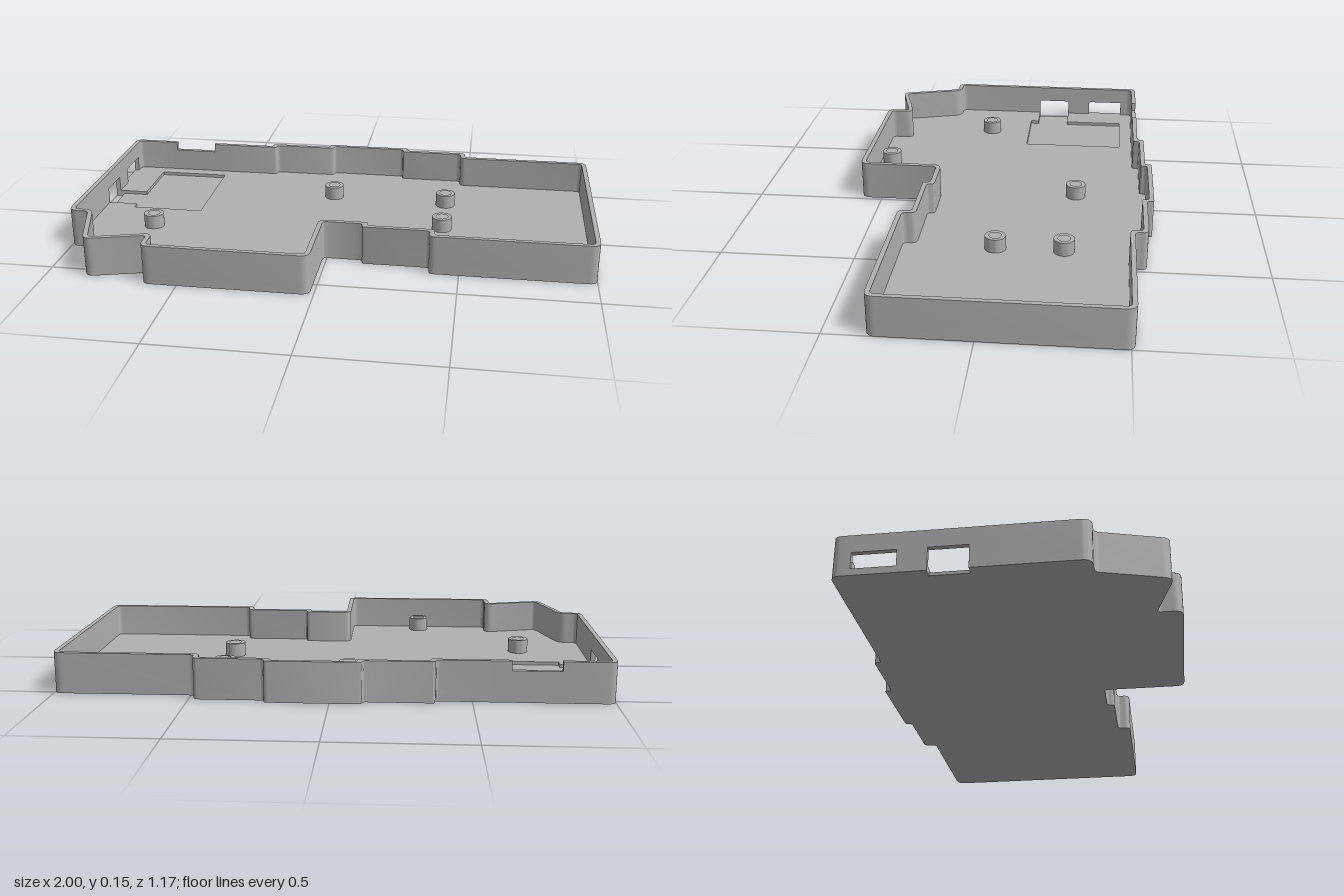
import * as THREE from 'three';
import { toCreasedNormals } from 'three/addons/utils/BufferGeometryUtils.js';

const WALL = 0.018, FLOOR = 0.025, POCKET = 0.012, HEIGHT = 0.15, WINDOW_TOP = 0.085, NOTCH_Y = 0.115;

// Outer outline as two open runs of [x, z], broken at the left windows and the back notch
const mainRun = [
  [-1, -0.085], [-1, 0.305], [-0.922, 0.305], [-0.85, 0.555], [-0.63, 0.493], [-0.63, 0.583],
  [-0.015, 0.583], [-0.015, 0.273], [0.135, 0.273], [0.135, 0.302], [0.388, 0.302], [0.388, 0.353],
  [1, 0.353], [1, -0.513], [0.485, -0.513], [0.485, -0.561], [0.23, -0.561], [0.23, -0.587],
  [-0.115, -0.587], [-0.115, -0.561], [-0.37, -0.561], [-0.37, -0.535], [-0.635, -0.535],
];
const cornerRun = [[-0.81, -0.535], [-1, -0.535], [-1, -0.47]];

const toVectors = (list) => list.map(([x, z]) => new THREE.Vector2(x, z));
const direction = (a, b) => b.clone().sub(a).normalize();

// Parallel run, moved inward by d with mitred corners
function inset(points, d) {
  return points.map((p, i) => {
    const normals = [];
    if (i > 0) normals.push(direction(points[i - 1], p));
    if (i < points.length - 1) normals.push(direction(p, points[i + 1]));
    const [a, b] = normals.map((v) => new THREE.Vector2(v.y, -v.x));
    if (!b) return p.clone().addScaledVector(a, d);
    return p.clone().addScaledVector(a.clone().add(b), d / (1 + a.dot(b)));
  });
}

// Rounds the inner points of a run
function roundRun(points, convexR, concaveR) {
  const out = [points[0]];
  for (let i = 1; i < points.length - 1; i++) {
    const p = points[i], before = points[i - 1], after = points[i + 1];
    const d1 = direction(before, p), d2 = direction(p, after);
    const r = d1.cross(d2) < 0 ? convexR : concaveR;
    const t = Math.min(r, 0.48 * p.distanceTo(before), 0.48 * p.distanceTo(after));
    const curve = new THREE.QuadraticBezierCurve(
      p.clone().addScaledVector(d1, -t), p, p.clone().addScaledVector(d2, t));
    out.push(...curve.getPoints(6));
  }
  out.push(points[points.length - 1]);
  return out;
}

const outerRun = (list) => roundRun(toVectors(list), 0.035, 0.017);
const innerRun = (list) => roundRun(inset(toVectors(list), WALL), 0.018, 0.035);

// Extrudes a plan shape (x, z) upward from y0 to y1
function slab(points, y0, y1, hole) {
  const flip = (p) => new THREE.Vector2(p.x, -p.y);
  const shape = new THREE.Shape(points.map(flip));
  if (hole) shape.holes.push(new THREE.Path(hole.map(flip)));
  const geometry = new THREE.ExtrudeGeometry(shape, { depth: y1 - y0, bevelEnabled: false });
  geometry.rotateX(-Math.PI / 2).translate(0, y0, 0);
  return toCreasedNormals(geometry, 0.6);
}

function circle(x, z, r) {
  return Array.from({ length: 32 }, (_, i) => {
    const a = (i / 32) * Math.PI * 2;
    return new THREE.Vector2(x + r * Math.cos(a), z + r * Math.sin(a));
  });
}

export function createModel() {
  const group = new THREE.Group();
  group.name = 'circuitBoardTray';
  const grey = new THREE.MeshStandardMaterial({ color: 0xb0b0b0 });
  grey.name = 'grey plastic';

  const add = (name, geometry) => {
    const mesh = new THREE.Mesh(geometry, grey);
    mesh.name = name;
    group.add(mesh);
  };
  const addBox = (name, x0, x1, y0, y1, z0, z1) => {
    const box = new THREE.BoxGeometry(x1 - x0, y1 - y0, z1 - z0);
    add(name, box.translate((x0 + x1) / 2, (y0 + y1) / 2, (z0 + z1) / 2));
  };

  // Floor in two layers: the lower has the port cutout, the upper the shallow pocket
  const outline = [...outerRun(mainRun), ...outerRun(cornerRun)];
  const cutout = toVectors([[-1, -0.22], [-0.965, -0.22], [-0.965, -0.085]]);
  const pocket = toVectors([
    [-1, -0.22], [-0.865, -0.22], [-0.865, -0.465], [-0.58, -0.465],
    [-0.58, -0.05], [-0.865, -0.05], [-0.865, -0.085],
  ]);
  add('floorBase', slab([...outline, ...cutout], 0, POCKET));
  add('floorTop', slab([...outline, ...pocket], POCKET, FLOOR));

  // Full-height walls
  const wall = (run) => slab([...outerRun(run), ...innerRun(run).reverse()], FLOOR, HEIGHT);
  add('mainWall', wall(mainRun));
  add('cornerWall', wall(cornerRun));

  // Wall pieces around the two port windows and under the back notch
  addBox('windowLintel', -1, -1 + WALL, WINDOW_TOP, HEIGHT, -0.47, -0.085);
  addBox('windowPillar', -1, -1 + WALL, FLOOR, WINDOW_TOP, -0.32, -0.22);
  addBox('notchSill', -0.81, -0.635, FLOOR, NOTCH_Y, -0.535, -0.535 + WALL);

  // Hollow screw posts
  const posts = [[-0.055, -0.287], [0.417, -0.261], [0.417, -0.009], [-0.722, 0.121], [-0.322, 0.514]];
  for (const [x, z] of posts) {
    add('screwPost', slab(circle(x, z, 0.039), FLOOR, 0.078, circle(x, z, 0.023)));
  }
  return group;
}
